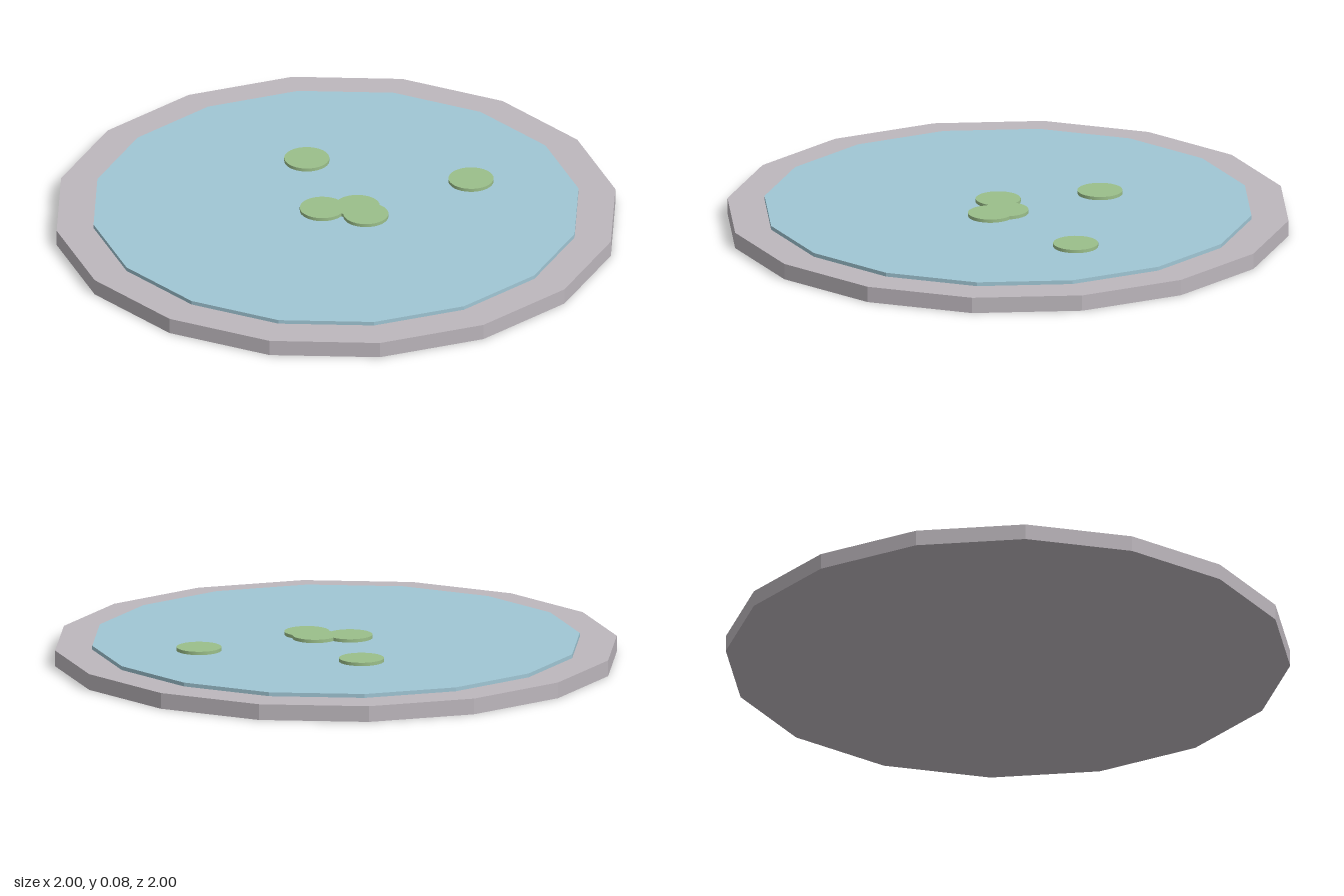
import * as THREE from 'three';

// Upright disc between two heights
function disc(name, radius, y0, y1, sides, color, flatShading) {
  const geometry = new THREE.CylinderGeometry(radius, radius, y1 - y0, sides);
  const mesh = new THREE.Mesh(geometry, new THREE.MeshStandardMaterial({ color, flatShading }));
  mesh.name = name;
  mesh.position.y = (y0 + y1) / 2;
  return mesh;
}

export function createModel() {
  const pond = new THREE.Group();
  pond.name = 'pond';

  // Sixteen-sided stone base and the water resting on it
  pond.add(disc('stoneBase', 1, 0, 0.057, 16, 0xbdb7bd, true));
  pond.add(disc('water', 0.868, 0.05, 0.071, 16, 0xa0c6d4, true));

  // Floating lily pads: two alone, three overlapping near the middle
  const pads = [[-0.18, -0.305], [0.42, -0.295], [-0.04, 0.04], [0.12, 0.047], [0.077, -0.002]];
  pads.forEach(([x, z], i) => {
    const pad = disc(`lilyPad${i + 1}`, 0.08, 0.068, 0.083, 32, 0x9bbf8a, false);
    pad.position.x = x;
    pad.position.z = z;
    pond.add(pad);
  });

  return pond;
}
